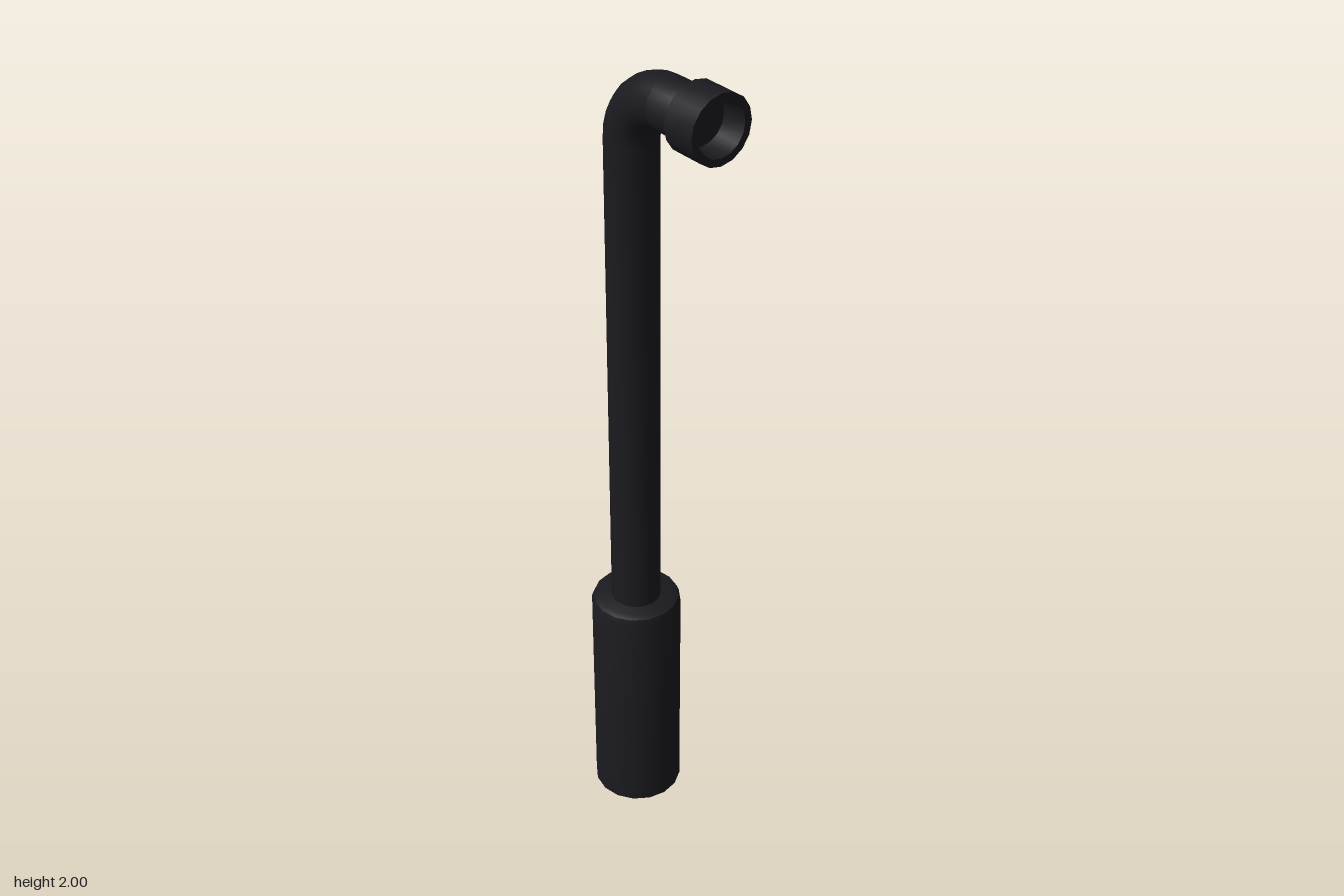
import * as THREE from 'three';
import { toCreasedNormals } from 'three/addons/utils/BufferGeometryUtils.js';

const SIDES = 16;
const PIPE_R = 0.06, BEND_R = 0.12, BEND_Y = 1.803;

export function createModel() {
  const model = new THREE.Group();
  const material = new THREE.MeshStandardMaterial({ color: 0x1b1a1f });

  const add = (name, geometry) => {
    const mesh = new THREE.Mesh(toCreasedNormals(geometry, Math.PI / 5), material);
    mesh.name = name;
    model.add(mesh);
    return mesh;
  };
  const lathe = (points) =>
    new THREE.LatheGeometry(points.map(([r, y]) => new THREE.Vector2(r, y)), SIDES);

  // Thick lower sleeve with a softened top edge
  add('lowerSleeve', lathe([
    [0, 0], [0.109, 0], [0.109, 0.58], [0.104, 0.594], [0.092, 0.6], [0, 0.6],
  ]));

  // Long straight shaft
  add('shaft', lathe([[PIPE_R, 0.59], [PIPE_R, BEND_Y]]));

  // Quarter bend towards the front
  const bend = new THREE.TorusGeometry(BEND_R, PIPE_R, SIDES, 8, Math.PI / 2);
  bend.rotateY(Math.PI / 2);
  add('bend', bend).position.set(0, BEND_Y, BEND_R);

  // Short horizontal neck, slightly tapered where it meets the socket
  const neck = lathe([[PIPE_R, BEND_R], [PIPE_R, 0.178], [0.055, 0.205]]);
  neck.rotateX(Math.PI / 2);
  add('neck', neck).position.y = BEND_Y + BEND_R;

  // Hollow socket at the front end
  const socket = lathe([
    [0, 0.2], [0.077, 0.2], [0.077, 0.283], [0.06, 0.283], [0.055, 0.225], [0, 0.225],
  ]);
  socket.rotateX(Math.PI / 2);
  add('socket', socket).position.y = BEND_Y + BEND_R;

  // The head is turned slightly to one side
  model.rotation.y = THREE.MathUtils.degToRad(-5);
  model.position.z = -0.09;

  const root = new THREE.Group();
  root.name = 'bentPipe';
  root.add(model);
  return root;
}
